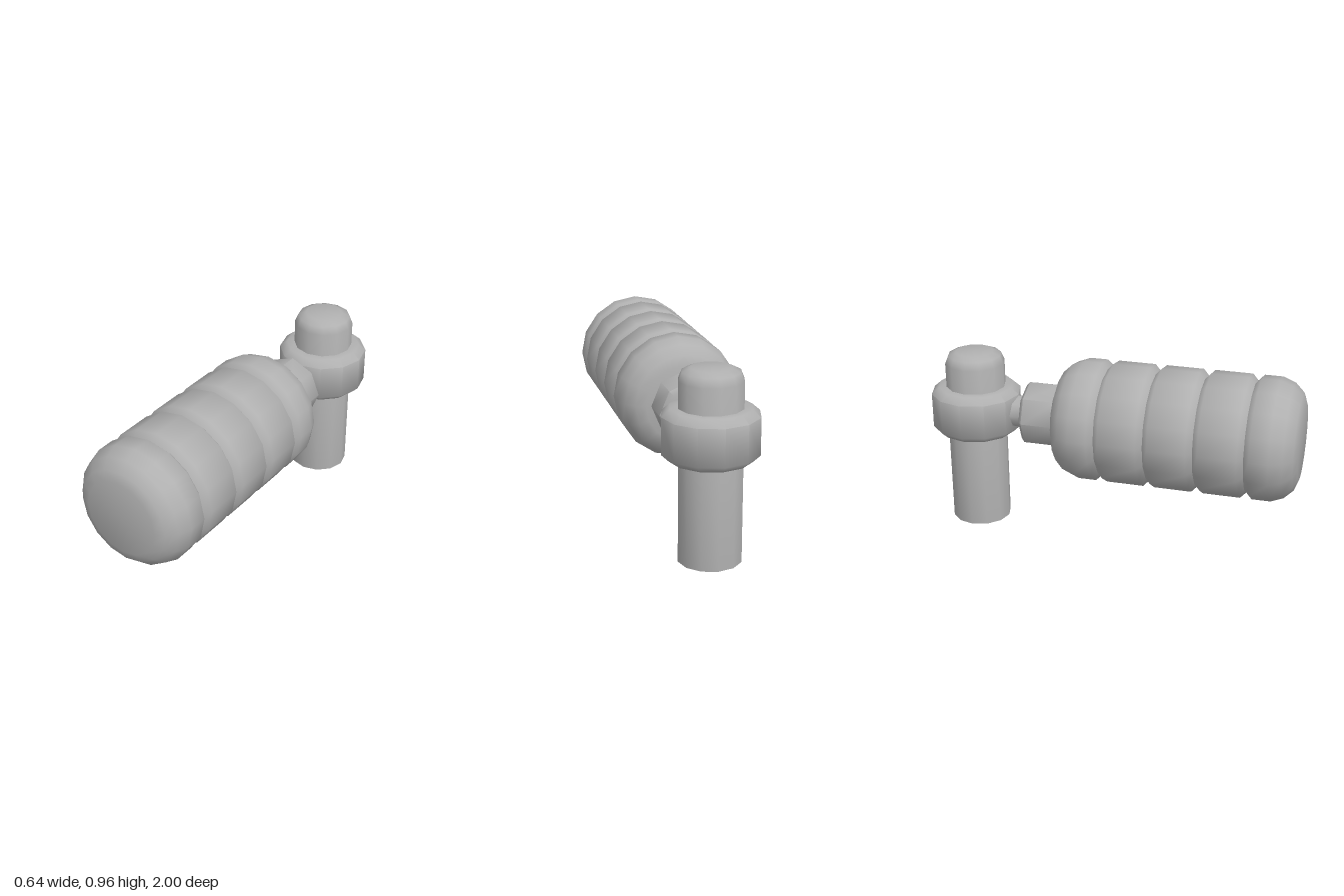
import * as THREE from 'three';
import { toCreasedNormals } from 'three/addons/utils/BufferGeometryUtils.js';

const AXIS_Y = 0.64; // height of the handle axis
const PIN_Z = -0.758; // position of the upright pin

export function createModel() {
  const model = new THREE.Group();
  model.name = 'crankHandle';
  const grey = new THREE.MeshStandardMaterial({ color: 0xb0b0b0 });
  grey.name = 'grey';

  // Turned part from [radius, height] pairs, listed from low to high
  function turned(name, profile, sides, parent) {
    const points = profile.map(([r, h]) => new THREE.Vector2(r, h));
    const geometry = toCreasedNormals(new THREE.LatheGeometry(points, sides), 0.95);
    const mesh = new THREE.Mesh(geometry, grey);
    mesh.name = name;
    parent.add(mesh);
    return mesh;
  }

  // Horizontal handle: its turning axis is laid along z
  const handle = new THREE.Group();
  handle.name = 'handle';
  handle.rotation.x = Math.PI / 2;
  handle.position.y = AXIS_Y;
  model.add(handle);

  // Five grip rings parted by shallow grooves, the outer two rounded off
  const pitch = 0.256;
  const round = [[0, 0], [0.2, 0], [0.25, 0.018], [0.295, 0.065], [0.32, 0.13]];
  const groove = [[0.288, 0], [0.32, 0.03]];
  const flip = (part) => part.map(([r, h]) => [r, pitch - h]).reverse();
  for (let i = 0; i < 5; i++) {
    const low = i === 0 ? round : groove;
    const high = flip(i === 4 ? round : groove);
    turned('gripRing' + (i + 1), [...low, ...high], 16, handle).position.y = -0.28 + i * pitch;
  }

  // Collar and neck joining the grip to the eye
  turned('collar', [[0, -0.47], [0.15, -0.47], [0.173, -0.45], [0.173, -0.27]], 8, handle);
  turned('neck', [[0.088, -0.6], [0.088, -0.46]], 8, handle);

  // Eye around the pin, with bevelled rims
  const eye = turned('eye', [
    [0.15, 0.517], [0.205, 0.517], [0.24, 0.55], [0.24, 0.735], [0.2, 0.77], [0.15, 0.77],
  ], 12, model);
  eye.position.z = PIN_Z;

  // Upright pin with a rounded top
  const pin = turned('pin', [
    [0, 0], [0.159, 0], [0.159, 0.9], [0.142, 0.942], [0.1, 0.96], [0, 0.96],
  ], 12, model);
  pin.position.z = PIN_Z;

  return model;
}
